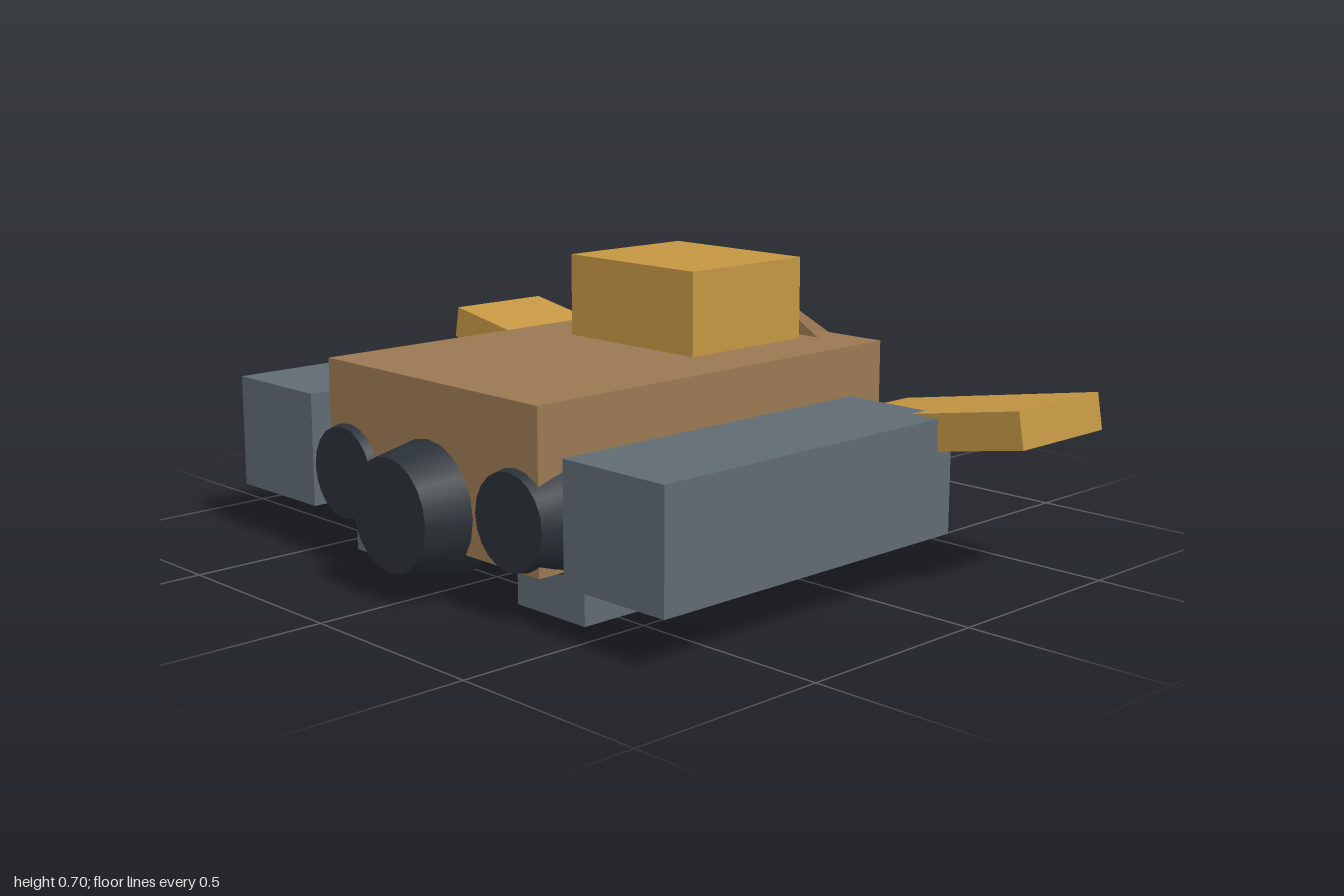
import * as THREE from 'three';

const mat = (color) => new THREE.MeshStandardMaterial({ color });

export function createModel() {
  const group = new THREE.Group();
  const brown = mat(0x9b7953);
  const gold = mat(0xc49743);
  const grey = mat(0x5f6b72);
  const dark = mat(0x2a3137);

  const add = (name, geometry, material, x, y, z) => {
    const mesh = new THREE.Mesh(geometry, material);
    mesh.name = name;
    mesh.position.set(x, y, z);
    group.add(mesh);
    return mesh;
  };

  // Box given by its extents along each axis
  const box = (name, material, [x0, x1], [y0, y1], [z0, z1]) =>
    add(name, new THREE.BoxGeometry(x1 - x0, y1 - y0, z1 - z0), material,
      (x0 + x1) / 2, (y0 + y1) / 2, (z0 + z1) / 2);

  // Tapered nozzle, narrow end towards +z
  const nozzle = (name, x, y, z0, z1, rBack, rFront) =>
    add(name, new THREE.CylinderGeometry(rFront, rBack, z1 - z0, 20).rotateX(Math.PI / 2),
      dark, x, y, (z0 + z1) / 2);

  // Hull and cabin
  box('hull', brown, [-0.38, 0.38], [0.12, 0.5], [-0.43, 0.695]);
  box('cabin', gold, [-0.216, 0.216], [0.48, 0.705], [-0.31, 0.067]);

  // Six-sided, smooth-shaded cone pointing to -z
  add('noseCone', new THREE.ConeGeometry(0.28, 0.46, 6).rotateX(-Math.PI / 2),
    brown, 0, 0.36, -0.58);

  nozzle('centreNozzle', 0, 0.208, 0.64, 0.81, 0.168, 0.134);

  // Paired parts
  for (const s of [1, -1]) {
    const side = s > 0 ? 'left' : 'right';
    const span = (a, b) => (s > 0 ? [a, b] : [-b, -a]);
    box(side + 'Pod', grey, span(0.46, 0.765), [0.12, 0.4], [-0.225, 0.695]);
    box(side + 'Skid', grey, span(0.195, 0.42), [0, 0.15], [-0.175, 0.6]);
    nozzle(side + 'Nozzle', s * 0.305, 0.235, 0.57, 0.717, 0.145, 0.112);

    // Wing tilted up towards its tip
    const wing = add(side + 'Wing', new THREE.BoxGeometry(0.565, 0.088, 0.305),
      gold, s * 0.715, 0.36, -0.328);
    wing.rotation.z = s * THREE.MathUtils.degToRad(10);
  }
  return group;
}
